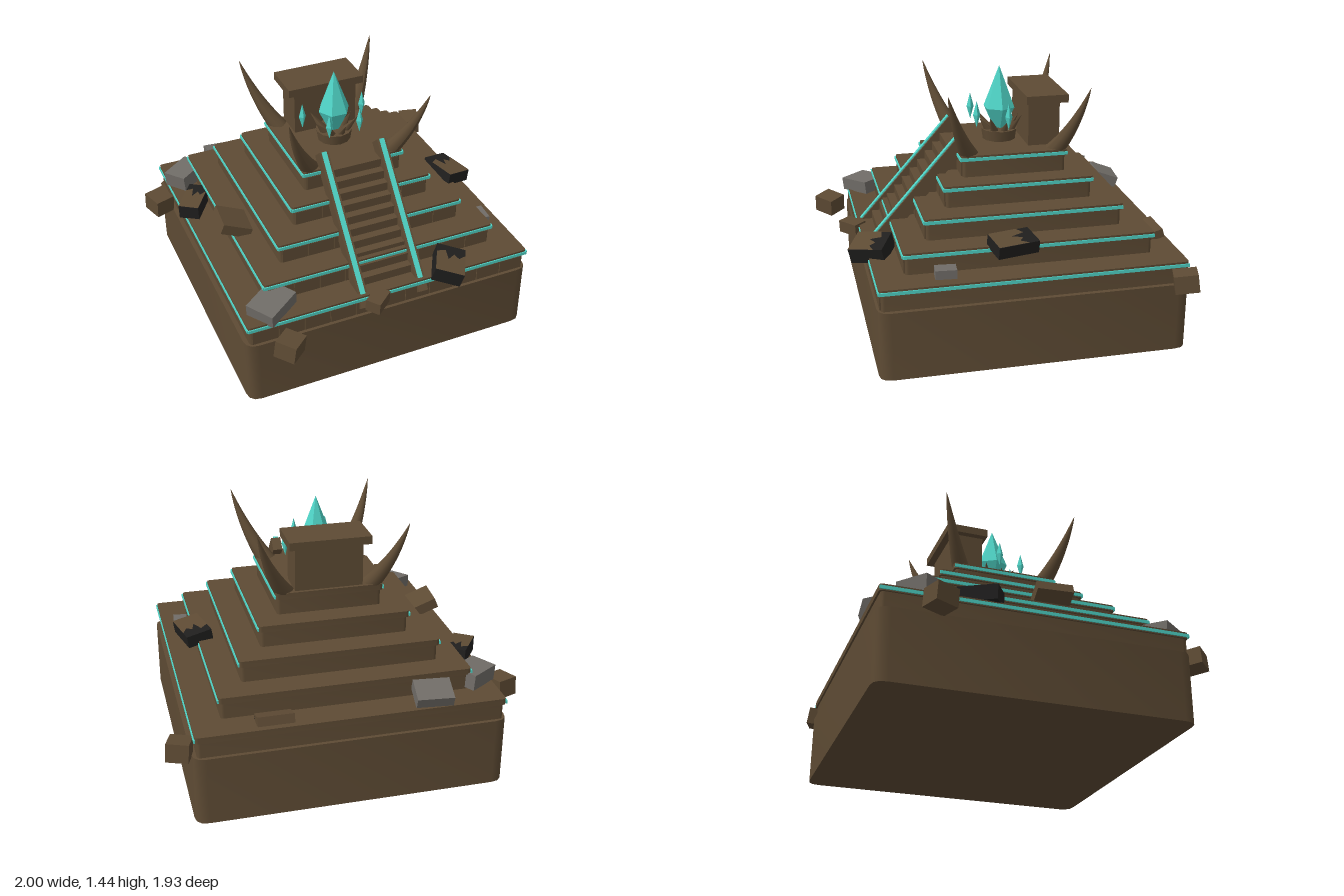
import * as THREE from 'three';
import { toCreasedNormals } from 'three/addons/utils/BufferGeometryUtils.js';

const material = (name, color) => {
  const m = new THREE.MeshStandardMaterial({ color });
  m.name = name;
  return m;
};

export function createModel() {
  const earth = material('brown stone', 0x5e4b34);
  const teal = material('teal crystal', 0x4fd3c6);
  const grey = material('grey stone', 0x706c67);
  const dark = material('charred stone', 0x201f1e);

  const model = new THREE.Group();
  model.name = 'steppedTemple';
  const CX = 0.006, CZ = -0.096; // axis of the pyramid

  const add = (name, geometry, mat, x = 0, y = 0, z = 0, parent = model) => {
    const mesh = new THREE.Mesh(geometry, mat);
    mesh.name = name;
    mesh.position.set(x, y, z);
    parent.add(mesh);
    return mesh;
  };
  const box = (name, w, h, d, mat, x, y, z, parent) =>
    add(name, new THREE.BoxGeometry(w, h, d), mat, x, y, z, parent);

  // Square slab with softened vertical corners, standing on y = 0
  const slab = (halfX, halfZ, height, r) => {
    const s = new THREE.Shape();
    s.moveTo(-halfX + r, -halfZ);
    s.lineTo(halfX - r, -halfZ);
    s.quadraticCurveTo(halfX, -halfZ, halfX, -halfZ + r);
    s.lineTo(halfX, halfZ - r);
    s.quadraticCurveTo(halfX, halfZ, halfX - r, halfZ);
    s.lineTo(-halfX + r, halfZ);
    s.quadraticCurveTo(-halfX, halfZ, -halfX, halfZ - r);
    s.lineTo(-halfX, -halfZ + r);
    s.quadraticCurveTo(-halfX, -halfZ, -halfX + r, -halfZ);
    const g = new THREE.ExtrudeGeometry(s, { depth: height, bevelEnabled: false, curveSegments: 3 });
    return toCreasedNormals(g.rotateX(-Math.PI / 2), 0.7);
  };

  // Foundation block
  add('foundation', slab(0.855, 0.85, 0.39, 0.07), earth, CX, 0, CZ);

  // Five tiers with a lip, a glowing band on three sides and front facing blocks
  const halves = [0.84, 0.69, 0.553, 0.42, 0.302];
  halves.forEach((h, i) => {
    const bottom = 0.39 + i * 0.125, top = bottom + 0.125, bandY = top - 0.02;
    const tier = new THREE.Group();
    tier.name = `tier${i + 1}`;
    model.add(tier);
    add('tierBody', slab(h - 0.01, h - 0.01, 0.11, 0.02), earth, CX, bottom, CZ, tier);
    add('tierLip', slab(h, h, 0.035, 0.02), earth, CX, top - 0.035, CZ, tier);
    box('frontBand', h * 2, 0.018, 0.008, teal, CX, bandY, CZ + h + 0.002, tier);
    for (const s of [-1, 1])
      box('sideBand', 0.008, 0.018, h * 2, teal, CX + s * (h + 0.002), bandY, CZ, tier);
    const n = Math.round(h * 13), w = (2 * h - 0.04) / n;
    for (let k = 0; k < n; k++)
      box('facingBlock', w - 0.008, 0.08, 0.012, earth,
        CX - h + 0.02 + w * (k + 0.5), bottom + 0.045, CZ + h - 0.009, tier);
  });

  // Stairway
  for (let i = 0; i < 10; i++) {
    const front = 0.66 - i * 0.046, top = 0.515 + (i + 1) * 0.05;
    box('step', 0.3, 0.05, front - 0.1, earth, CX, top - 0.025, (front + 0.1) / 2);
  }

  // Sloping rails with a glowing inlay
  const slope = Math.atan2(0.655, 0.58), length = 0.875;
  for (const s of [-1, 1]) {
    const rail = new THREE.Group();
    rail.name = s > 0 ? 'leftRail' : 'rightRail';
    rail.position.set(CX + s * 0.174, 0.7825, 0.48);
    rail.rotation.x = slope;
    model.add(rail);
    box('railBeam', 0.054, 0.08, length, earth, 0, -0.04, 0, rail);
    box('railInlay', 0.028, 0.008, length - 0.06, teal, 0, 0.003, -0.03, rail);
  }

  // Altar at the back of the summit
  box('altarBody', 0.38, 0.26, 0.18, earth, CX, 1.14, -0.29);
  box('altarCap', 0.455, 0.045, 0.24, earth, CX, 1.287, -0.3);

  // Curved horns on the four summit corners
  const horn = (sx, sz) => {
    const at = (out, y, deep) => new THREE.Vector3(CX + sx * out, y, CZ + sz * deep);
    const curve = new THREE.QuadraticBezierCurve3(at(0.235, 0.99, 0.24), at(0.35, 1.16, 0.335), at(0.412, 1.39, 0.392));
    const rings = 12, sides = 12;
    const g = new THREE.TubeGeometry(curve, rings, 1, sides, false);
    const p = g.attributes.position, v = new THREE.Vector3();
    for (let i = 0; i < p.count; i++) {
      const t = Math.floor(i / (sides + 1)) / rings, c = curve.getPointAt(t);
      v.fromBufferAttribute(p, i).sub(c).multiplyScalar(0.052 * (1 - t) ** 0.85 + 0.0005).add(c);
      p.setXYZ(i, v.x, v.y, v.z);
    }
    g.computeVertexNormals();
    add('horn', g, earth);
  };
  for (const sx of [-1, 1]) for (const sz of [-1, 1]) horn(sx, sz);

  // Pedestal, thorny cup and main crystal
  const KZ = -0.075;
  add('pedestal', new THREE.CylinderGeometry(0.104, 0.095, 0.06, 12), earth, CX, 1.045, KZ);
  const up = new THREE.Vector3(0, 1, 0);
  for (let i = 0; i < 8; i++) {
    const a = (i / 8) * Math.PI * 2 + 0.2, tall = i % 2 ? 0.13 : 0.1;
    const dir = new THREE.Vector3(Math.sin(a) * 0.75, 1, Math.cos(a) * 0.75).normalize();
    const thorn = add('thorn', new THREE.ConeGeometry(0.027, tall, 5).translate(0, tall / 2, 0), earth,
      CX + Math.sin(a) * 0.06, 1.06, KZ + Math.cos(a) * 0.06);
    thorn.quaternion.setFromUnitVectors(up, dir);
  }
  const gem = (name, r, low, mid, high, sides, foot, x, z) => {
    const pts = [[0, low], [foot, low], [r, mid], [0, high]].map(([a, b]) => new THREE.Vector2(a, b));
    const g = new THREE.LatheGeometry(foot ? pts : [pts[0], pts[2], pts[3]], sides, Math.PI / 2).toNonIndexed();
    g.computeVertexNormals();
    add(name, g, teal, x, 0, z);
  };
  gem('mainCrystal', 0.092, 1.08, 1.2, 1.44, 6, 0.035, CX, KZ);
  for (const [x, z] of [[-0.18, -0.09], [0.185, -0.09], [-0.085, 0.075], [0.098, 0.075]])
    gem('floatingShard', 0.021, 1.11, 1.185, 1.265, 4, 0, x, z);

  // Fallen blocks: [material, x, y, z, width, height, depth, pitch, yaw, roll]
  const rubble = [
    [earth, 0.92, 0.44, -0.89, 0.12, 0.1, 0.13, 0.15, -0.3, 0.05],
    [earth, -0.92, 0.44, -0.65, 0.12, 0.105, 0.13, 0.08, 0.35, 0],
    [earth, -0.65, 0.44, 0.87, 0.13, 0.1, 0.12, 0.1, 0.75, -0.1],
    [earth, -0.105, 0.49, 0.78, 0.13, 0.07, 0.085, 0.05, 0.7, 0],
    [earth, -0.665, 0.675, 0.03, 0.175, 0.06, 0.2, 0, -0.08, -0.4],
    [earth, 0.42, 0.535, -0.865, 0.195, 0.05, 0.1, 0.3, 0, 0],
    [grey, -0.73, 0.565, -0.705, 0.15, 0.09, 0.2, 0.05, -0.95, 0.05],
    [grey, -0.44, 0.565, -0.865, 0.2, 0.07, 0.145, -0.35, -0.1, 0],
    [grey, -0.665, 0.555, 0.645, 0.22, 0.075, 0.17, 0.05, 0.6, 0.1],
    [grey, 0.742, 0.54, 0.38, 0.08, 0.05, 0.115, 0, -0.08, 0],
    [dark, 0.355, 0.545, 0.72, 0.165, 0.09, 0.2, 0.12, -0.52, -0.25],
    [dark, 0.712, 0.655, 0.01, 0.15, 0.07, 0.235, 0, 0.22, -0.15],
    [dark, -0.765, 0.56, -0.4, 0.12, 0.085, 0.22, 0.05, -0.6, 0],
  ];
  for (const [mat, x, y, z, w, h, d, pitch, yaw, roll] of rubble) {
    const block = new THREE.Group();
    block.name = 'fallenBlock';
    block.position.set(x, y, z);
    block.rotation.set(pitch, yaw, roll, 'YXZ');
    model.add(block);
    box('blockStone', w, h, d, mat, 0, 0, 0, block);
    if (mat !== dark) continue;
    // Unburnt patch on the top of a charred block
    const patch = new THREE.Shape([[-0.5, -0.5], [0.5, -0.5], [0.5, 0.25], [0.28, 0.08], [0.1, 0.2],
      [-0.08, -0.02], [-0.2, 0.3], [-0.5, 0.2]].map(([a, b]) => new THREE.Vector2(a * w, b * d)));
    const g = new THREE.ShapeGeometry(patch).rotateX(-Math.PI / 2);
    add('unburntPatch', g, earth, 0, h / 2 + 0.002, 0, block);
  }
  // Charred edge of the block lying on the back ledge
  const scorch = box('charredEdge', 0.195, 0.05, 0.006, dark, 0.42, 0.52, -0.815);
  scorch.rotation.x = 0.3 - Math.PI / 4;

  return model;
}
